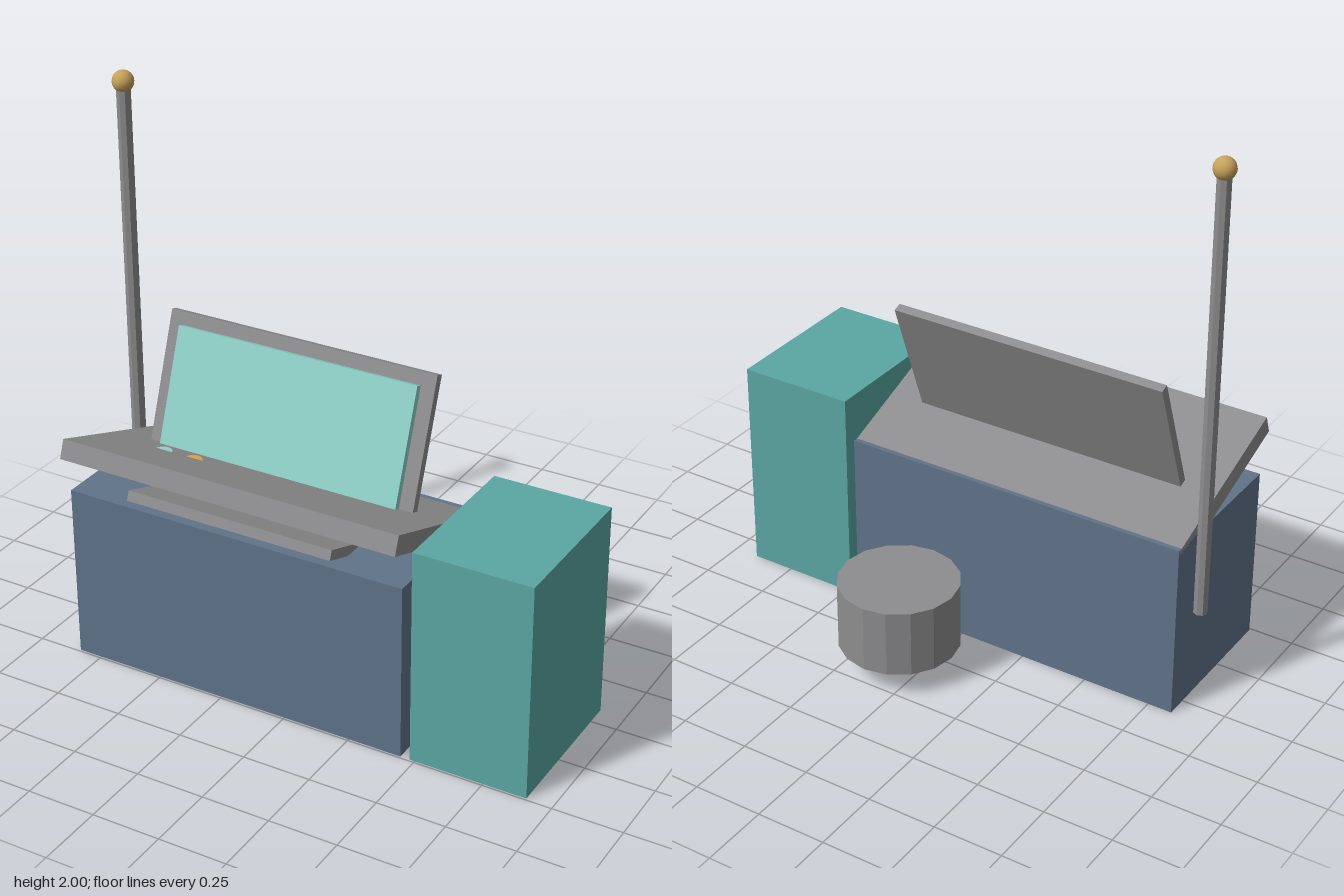
import * as THREE from 'three';

const paint = (name, color) => {
  const m = new THREE.MeshStandardMaterial({ color });
  m.name = name;
  return m;
};

export function createModel() {
  const group = new THREE.Group();
  const slate = paint('slate blue', 0x5f7389);
  const teal = paint('teal', 0x5aa6a2);
  const grey = paint('grey', 0x8d8d8f);
  const aqua = paint('pale aqua', 0x8fd0c7);
  const gold = paint('gold', 0xc6a25a);
  const orange = paint('orange', 0xd9a04a);
  grey.flatShading = true;

  const TILT = -Math.PI / 9;

  const add = (name, geometry, material, x, y, z) => {
    const mesh = new THREE.Mesh(geometry, material);
    mesh.name = name;
    mesh.position.set(x, y, z);
    group.add(mesh);
    return mesh;
  };

  // Box tilted by 20 degrees, placed by its top front edge
  const tilted = (name, material, w, h, d, x, y, z) => {
    const geometry = new THREE.BoxGeometry(w, h, d).translate(0, -h / 2, -d / 2);
    add(name, geometry, material, x, y, z).rotation.x = TILT;
  };

  // Desk body and side cabinet
  add('deskBody', new THREE.BoxGeometry(1.285, 0.645, 0.57), slate, -0.196, 0.3225, 0.207);
  add('sideCabinet', new THREE.BoxGeometry(0.426, 0.79, 0.57), teal, 0.694, 0.395, 0.207);

  // Sloping console top, shelf below it, and screen
  tilted('consoleTop', grey, 1.285, 0.07, 0.63, -0.196, 0.855, 0.517);
  tilted('shelf', grey, 0.785, 0.036, 0.25, -0.197, 0.72, 0.503);
  tilted('screenPanel', grey, 1.03, 0.5, 0.032, -0.196, 1.17, 0.03);
  tilted('screen', aqua, 0.925, 0.43, 0.028, -0.196, 1.135, 0.07);

  // Buttons half sunk into the slope
  [[-0.59, aqua], [-0.468, orange]].forEach(([x, material], i) =>
    add(`button${i + 1}`, new THREE.CylinderGeometry(0.034, 0.034, 0.04, 16), material, x, 0.751, 0.296));

  // Pole with ball finial
  add('pole', new THREE.CylinderGeometry(0.025, 0.025, 1.58, 8), grey, -0.873, 1.15, 0.03);
  add('poleBall', new THREE.SphereGeometry(0.038, 16, 12), gold, -0.873, 1.962, 0.03);

  // Round stool seat behind the desk
  add('stool', new THREE.CylinderGeometry(0.213, 0.213, 0.245, 16), grey, 0.09, 0.217, -0.33);

  return group;
}
